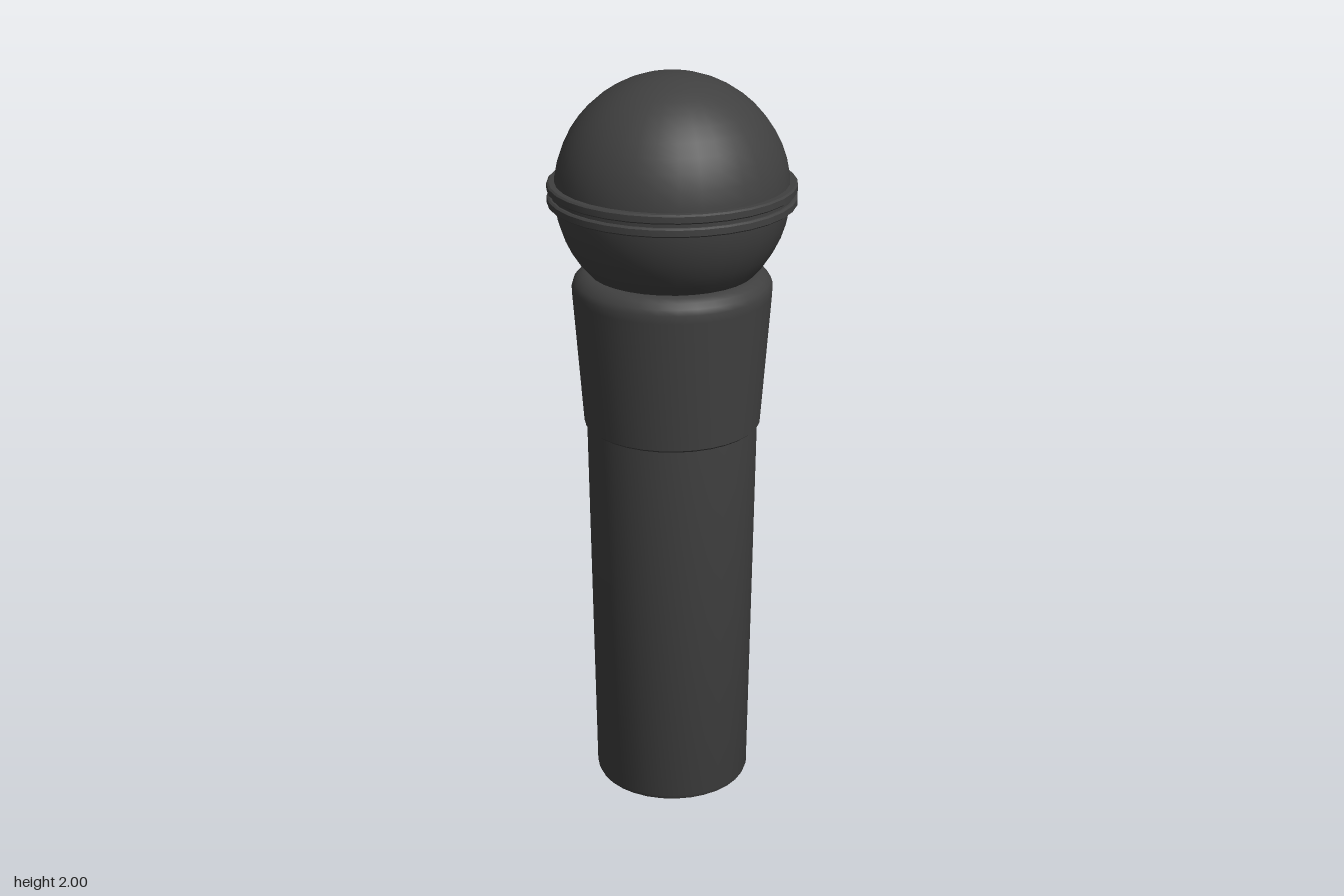
import * as THREE from 'three';
import { toCreasedNormals } from 'three/addons/utils/BufferGeometryUtils.js';

const SIDES = 32;

export function createModel() {
  const group = new THREE.Group();
  const material = new THREE.MeshStandardMaterial({ color: 0x404040 });

  const add = (name, geometry) => {
    const mesh = new THREE.Mesh(geometry, material);
    mesh.name = name;
    group.add(mesh);
    return mesh;
  };
  // Profile points are [radius, height], listed from bottom to top
  const turned = (name, profile) => {
    const points = profile.map(([r, y]) => new THREE.Vector2(r, y));
    return add(name, toCreasedNormals(new THREE.LatheGeometry(points, SIDES), 0.6));
  };

  // Tapered handle with a small bevel at the base
  turned('handle', [[0, 0], [0.2, 0], [0.207, 0.004], [0.212, 0.016], [0.228, 1.06], [0, 1.06]]);

  // Flared collar with a rounded shoulder below the head
  turned('collar', [
    [0, 1.06], [0.228, 1.058], [0.235, 1.064], [0.262, 1.42], [0.263, 1.442],
    [0.258, 1.457], [0.247, 1.47], [0.234, 1.479], [0.222, 1.482], [0, 1.482],
  ]);

  // Round grille head
  const head = add('grilleHead', new THREE.SphereGeometry(0.305, SIDES, 24));
  head.position.y = 1.695;

  // Band around the head: two ridges with a groove between them
  turned('grilleBand', [
    [0.295, 1.664], [0.318, 1.664], [0.323, 1.668], [0.323, 1.684], [0.318, 1.688],
    [0.313, 1.688], [0.313, 1.698], [0.318, 1.698],
    [0.323, 1.702], [0.323, 1.718], [0.318, 1.722], [0.295, 1.722],
  ]);

  return group;
}
